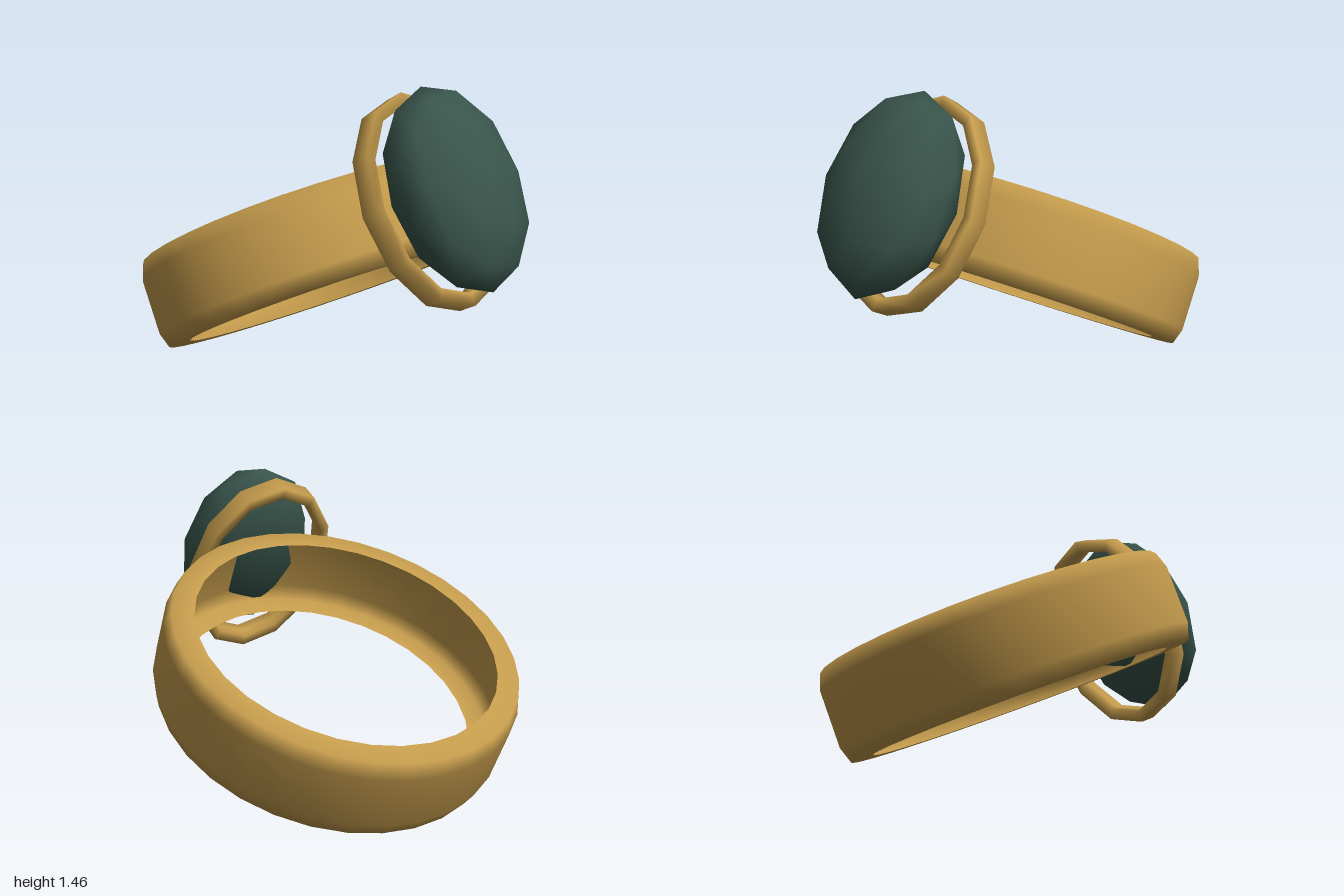
import * as THREE from 'three';

const gold = new THREE.MeshStandardMaterial({ color: 0xc49b4c, side: THREE.DoubleSide });
gold.name = 'gold';
const green = new THREE.MeshStandardMaterial({ color: 0x38544b });
green.name = 'dark green';

const toPoints = (list) => list.map(([r, y]) => new THREE.Vector2(r, y));

function add(parent, name, geometry, material) {
  const mesh = new THREE.Mesh(geometry, material);
  mesh.name = name;
  parent.add(mesh);
  return mesh;
}

export function createModel() {
  const model = new THREE.Group();

  // Everything sits in a tilted frame: y is the finger axis, z points out through the stone
  const ring = new THREE.Group();
  ring.name = 'ring';
  ring.position.set(0, 0.571, -0.176);
  ring.rotation.x = -THREE.MathUtils.degToRad(27.8);
  model.add(ring);

  // Band: full hoop, a bevelled outer wall with two flanges, hollow towards the finger
  const band = new THREE.LatheGeometry(toPoints([
    [0.716, -0.21], [0.82, -0.21], [0.845, -0.135],
    [0.845, 0.135], [0.82, 0.21], [0.716, 0.21],
  ]), 32);
  add(ring, 'band', band, gold);

  // Bezel: twelve-sided oval hoop of rectangular section
  const bezel = new THREE.LatheGeometry(toPoints([
    [0.437, 0], [0.437, -0.049], [0.495, -0.049], [0.495, 0.049], [0.437, 0.049], [0.437, 0],
  ]), 12);
  bezel.rotateX(Math.PI / 2).scale(0.75, 1, 1);
  add(ring, 'bezel', bezel, gold).position.set(0, 0, 0.845);

  // Stone: squashed low-poly ball with one corner facing outwards, its back breaking through the band
  const stone = new THREE.IcosahedronGeometry(1, 1);
  stone.rotateX(Math.atan(2 / (1 + Math.sqrt(5)))).rotateZ(Math.PI / 2);
  stone.scale(0.342, 0.469, 0.224);
  add(ring, 'stone', stone, green).position.set(0, 0.003, 1.016);

  return model;
}
